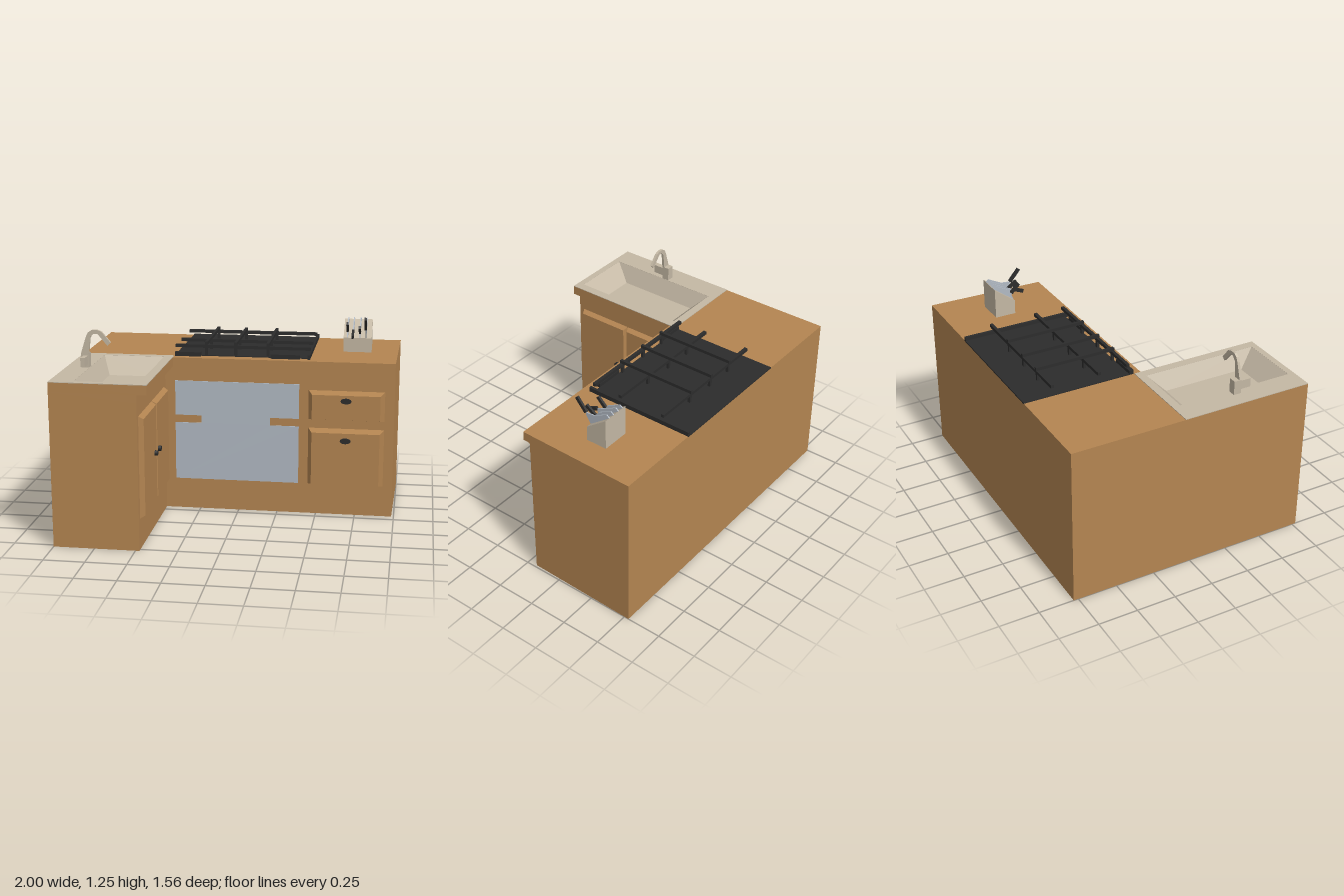
import * as THREE from 'three';

const mat = (name, color, side = THREE.FrontSide) => {
  const m = new THREE.MeshStandardMaterial({ color, side });
  m.name = name;
  return m;
};

export function createModel() {
  const wood = mat('wood', 0xb48551);
  const steel = mat('steel', 0xb2bac4, THREE.DoubleSide);
  const stone = mat('stone', 0xc4b8a4, THREE.DoubleSide);
  const black = mat('black iron', 0x2c2c2c);
  const root = new THREE.Group();

  const add = (name, geo, material, parent = root) => {
    const mesh = new THREE.Mesh(geo, material);
    mesh.name = name;
    parent.add(mesh);
    return mesh;
  };
  const group = (name) => {
    const g = new THREE.Group();
    g.name = name;
    root.add(g);
    return g;
  };
  // Box given by its minimum and maximum on each axis
  const box = (name, x0, x1, y0, y1, z0, z1, material, parent) => {
    const geo = new THREE.BoxGeometry(x1 - x0, y1 - y0, z1 - z0);
    geo.translate((x0 + x1) / 2, (y0 + y1) / 2, (z0 + z1) / 2);
    return add(name, geo, material, parent);
  };
  const poly = (pts) => new THREE.Shape(pts.map(([x, y]) => new THREE.Vector2(x, y)));
  const rect = (x0, x1, y0, y1) => poly([[x0, y0], [x1, y0], [x1, y1], [x0, y1]]);
  const extrude = (shape, depth) => new THREE.ExtrudeGeometry(shape, { depth, bevelEnabled: false });
  // Floor plan in (x, z) raised from y0 to y1
  const plan = (pts, y0, y1, hole) => {
    const s = poly(pts.map(([x, z]) => [x, -z]));
    if (hole) s.holes.push(hole);
    return extrude(s, y1 - y0).rotateX(-Math.PI / 2).translate(0, y0, 0);
  };
  // Panel open at the back whose front face is inset on all sides
  const bevelPanel = (w, h, d, insetX, insetY) => {
    const geo = new THREE.BoxGeometry(w, h, d).translate(0, 0, d / 2);
    const p = geo.attributes.position;
    for (let i = 0; i < p.count; i++) {
      if (p.getZ(i) < d / 2) continue;
      p.setX(i, p.getX(i) - Math.sign(p.getX(i)) * insetX);
      p.setY(i, p.getY(i) - Math.sign(p.getY(i)) * insetY);
    }
    geo.setIndex([...geo.index.array].slice(0, 30));
    geo.clearGroups();
    geo.computeVertexNormals();
    return geo;
  };

  // L-shaped cabinet and overhanging worktop, open where the basin sits
  const lShape = (wingX, frontZ) => [[-1, -0.78], [1, -0.78], [0.985, frontZ],
    [wingX, frontZ], [wingX, 0.775], [-1, 0.775]];
  const basinHole = () => rect(-0.855, -0.47, -0.735, 0.01);
  const body = lShape(-0.475, -0.06);
  add('cabinet', plan(body, 0, 0.9), wood);
  const rimHole = rect(-0.855, -0.48, -0.735, 0.01);
  add('cabinetRim', plan(body, 0.9, 0.95, rimHole), wood);
  add('worktop', plan(lShape(-0.415, -0.015), 0.95, 1.008, basinHole()), wood);

  // Sink deck and tapered basin
  add('sinkDeck', plan([[-1, -0.06], [-0.415, -0.06], [-0.415, 0.775], [-1, 0.775]],
    1.008, 1.012, basinHole()), stone);
  const basin = bevelPanel(0.385, 0.745, 0.105, 0.055, 0.105).rotateX(Math.PI / 2);
  add('basin', basin, stone).position.set(-0.6625, 1.011, 0.3625);

  // Tap: base, side lever and bent spout
  const tap = group('tap');
  box('tapBase', -0.905, -0.857, 1.01, 1.1, 0.32, 0.367, stone, tap);
  box('tapLever', -0.892, -0.865, 1.03, 1.085, 0.367, 0.44, stone, tap);
  const spout = poly([[-0.905, 1.1], [-0.857, 1.1], [-0.845, 1.2], [-0.825, 1.222],
    [-0.8, 1.222], [-0.782, 1.2], [-0.74, 1.15], [-0.72, 1.17], [-0.775, 1.235],
    [-0.8, 1.245], [-0.835, 1.245], [-0.86, 1.228], [-0.873, 1.2]]);
  add('spout', extrude(spout, 0.016).translate(0, 0, 0.354), stone, tap);

  // Oven front with a notch in each side
  const oven = poly([[-0.41, 0.2], [0.385, 0.2], [0.385, 0.575], [0.2, 0.575],
    [0.2, 0.625], [0.385, 0.625], [0.385, 0.85], [-0.41, 0.85], [-0.41, 0.625],
    [-0.24, 0.625], [-0.24, 0.575], [-0.41, 0.575]]);
  add('ovenFront', extrude(oven, 0.005).translate(0, 0, -0.06), steel);

  // Drawers with oval pulls
  for (const [y0, y1, pullY] of [[0.625, 0.815, 0.765], [0.2, 0.57, 0.507]]) {
    const drawer = bevelPanel(0.48, y1 - y0, 0.06, 0.026, 0.016);
    add('drawer', drawer, wood).position.set(0.685, (y0 + y1) / 2, -0.06);
    const pull = new THREE.CylinderGeometry(0.034, 0.034, 0.018, 12).rotateX(Math.PI / 2);
    pull.scale(1, 0.5, 1);
    add('drawerPull', pull, black).position.set(0.685, pullY, 0.006);
  }

  // Cupboard doors on the inner side of the sink wing
  for (const [z0, z1, knobZ] of [[0.37, 0.74, 0.43], [-0.01, 0.365, 0.325]]) {
    const door = bevelPanel(z1 - z0, 0.625, 0.03, 0.012, 0.018).rotateY(Math.PI / 2);
    add('cupboardDoor', door, wood).position.set(-0.475, 0.5025, (z0 + z1) / 2);
    const knob = new THREE.CylinderGeometry(0.017, 0.017, 0.02, 8).rotateZ(Math.PI / 2);
    add('cupboardKnob', knob, black).position.set(-0.437, 0.507, knobZ);
  }

  // Hob plate, front blocks, side rail and pan grate
  const hob = group('hob');
  box('hobPlate', -0.41, 0.45, 1.006, 1.014, -0.782, -0.09, black, hob);
  box('hobBlockLeft', 0.2, 0.385, 1.008, 1.035, -0.092, -0.063, black, hob);
  box('hobBlockRight', -0.41, -0.245, 1.008, 1.035, -0.092, -0.063, black, hob);
  box('hobRail', 0.433, 0.45, 1.008, 1.036, -0.78, -0.062, black, hob);
  const barX = [-0.213, -0.025, 0.18];
  const barZ = [-0.1, -0.292, -0.597];
  for (const z of barZ) box('crossBar', -0.41, 0.45, 1.06, 1.08, z - 0.01, z + 0.01, black, hob);
  for (const x of barX) {
    box('longBar', x - 0.009, x + 0.009, 1.08, 1.1, -0.61, -0.09, black, hob);
    for (const z of barZ) {
      box('grateLeg', x - 0.009, x + 0.009, 1.01, 1.08, z - 0.008, z + 0.008, black, hob);
    }
  }

  // Knife block: side outline in (z, y), swept along x
  const knives = group('knifeBlock');
  const sideSweep = (name, pts, x, width, material) => {
    const geo = extrude(poly(pts.map(([z, y]) => [-z, y])), width).rotateY(Math.PI / 2);
    return add(name, geo.translate(x - width / 2, 0, 0), material, knives);
  };
  sideSweep('block', [[-0.347, 1.008], [-0.347, 1.1], [-0.482, 1.2], [-0.482, 1.008]],
    0.73, 0.18, stone);

  // Knives: blade, then a slim handle from its lower end to the tip
  const handles = [
    [0.665, [-0.36, 1.145], [-0.305, 1.2]],
    [0.702, [-0.33, 1.15], [-0.26, 1.12]],
    [0.745, [-0.35, 1.135], [-0.285, 1.18]],
    [0.783, [-0.315, 1.165], [-0.25, 1.242]],
  ];
  for (const [x, a, b] of handles) {
    sideSweep('blade', [[-0.347, 1.1], [a[0], a[1] - 0.012], a, [-0.375, 1.17],
      [-0.462, 1.214], [-0.481, 1.199]], x, 0.007, steel);
    const dz = b[0] - a[0], dy = b[1] - a[1], len = Math.hypot(dz, dy);
    const geo = new THREE.BoxGeometry(0.014, 0.022, len).rotateX(-Math.atan2(dy, dz));
    add('knifeHandle', geo, black, knives).position.set(x, (a[1] + b[1]) / 2, (a[0] + b[0]) / 2);
  }
  return root;
}
